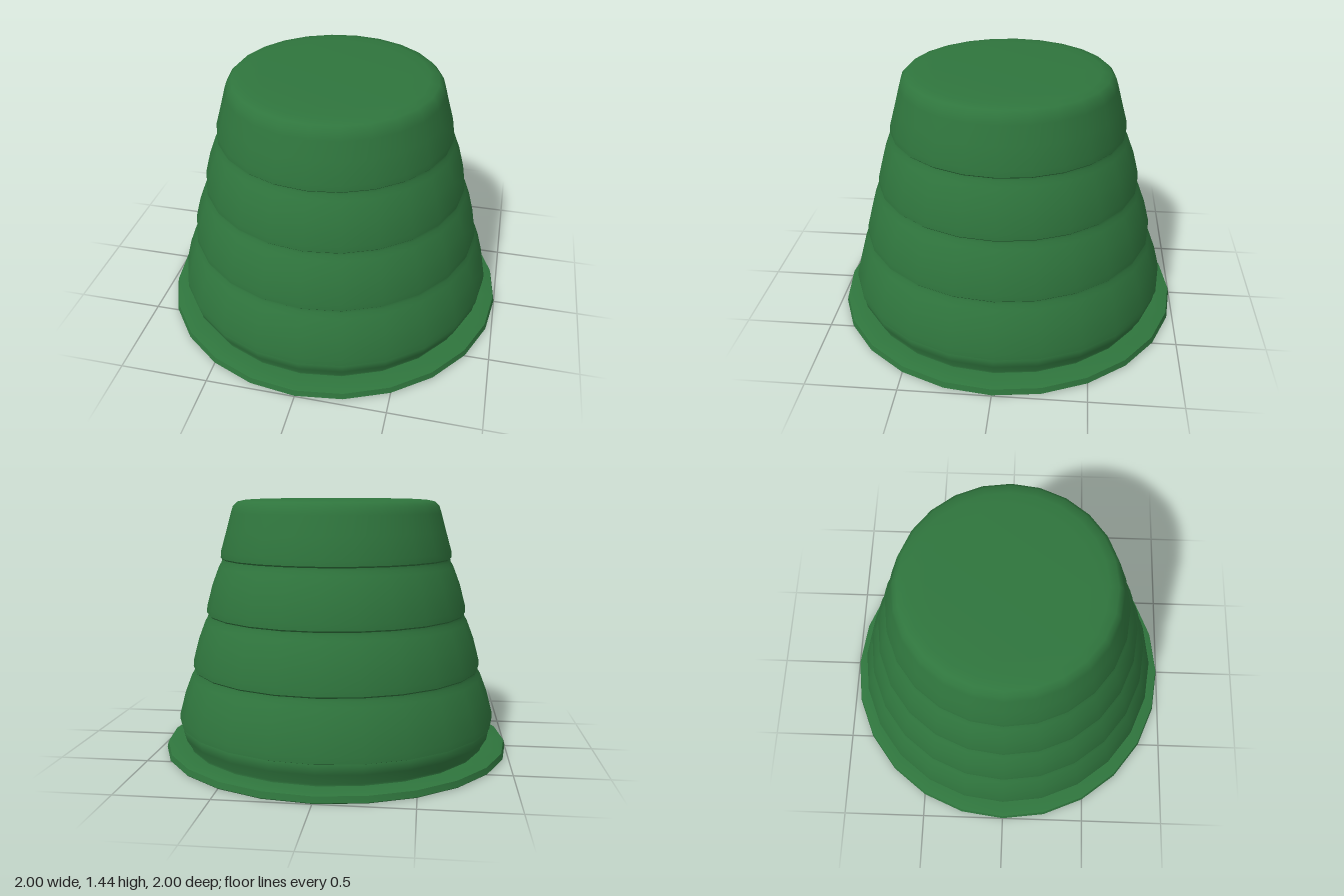
import * as THREE from 'three';
import { toCreasedNormals } from 'three/addons/utils/BufferGeometryUtils.js';

const SIDES = 24;
const WALL = 0.02;

// Outer wall from the neck upwards: four overlapping tiers and a rounded end.
function wallProfile() {
  const points = [[0.87, 0.04], [0.87, 0.05], [0.905, 0.11], [0.912, 0.15], [0.908, 0.165]];
  for (let i = 0; i < 4; i++) {
    const r = 0.92 - i * 0.085;
    const y = 0.17 + i * 0.313;
    points.push([r, y], [r - 0.002, y + 0.035]);
    if (i < 3) {
      points.push([r - 0.035, y + 0.16], [r - 0.075, y + 0.265]);
      points.push([r - 0.09, y + 0.29], [r - 0.093, y + 0.305]);
    }
  }
  points.push([0.63, 1.26], [0.603, 1.36], [0.59, 1.4], [0.565, 1.425], [0.515, 1.435], [0.42, 1.44], [0, 1.44]);
  return points;
}

function lathe(points) {
  const geometry = new THREE.LatheGeometry(points.map(([r, y]) => new THREE.Vector2(r, y)), SIDES);
  return toCreasedNormals(geometry, 0.65);
}

export function createModel() {
  const green = new THREE.MeshStandardMaterial({ color: 0x2f753d });
  green.name = 'green';
  const group = new THREE.Group();
  group.name = 'taperedCup';
  const add = (name, points) => {
    const mesh = new THREE.Mesh(lathe(points), green);
    mesh.name = name;
    group.add(mesh);
  };

  const outer = wallProfile();
  // Inner wall follows the tiers, running from the closed end down to the opening.
  const inner = outer
    .map(([r, y]) => [Math.max(0, r - WALL), y > 1.39 ? y - WALL : y])
    .reverse();

  add('outerWall', outer);
  add('innerWall', inner);
  // Flat flange around the opening, including its inner edge.
  add('rimFlange', [[0.85, 0.04], [0.86, 0], [0.995, 0], [1, 0.005], [0.992, 0.037], [0.985, 0.04], [0.87, 0.04]]);
  return group;
}
